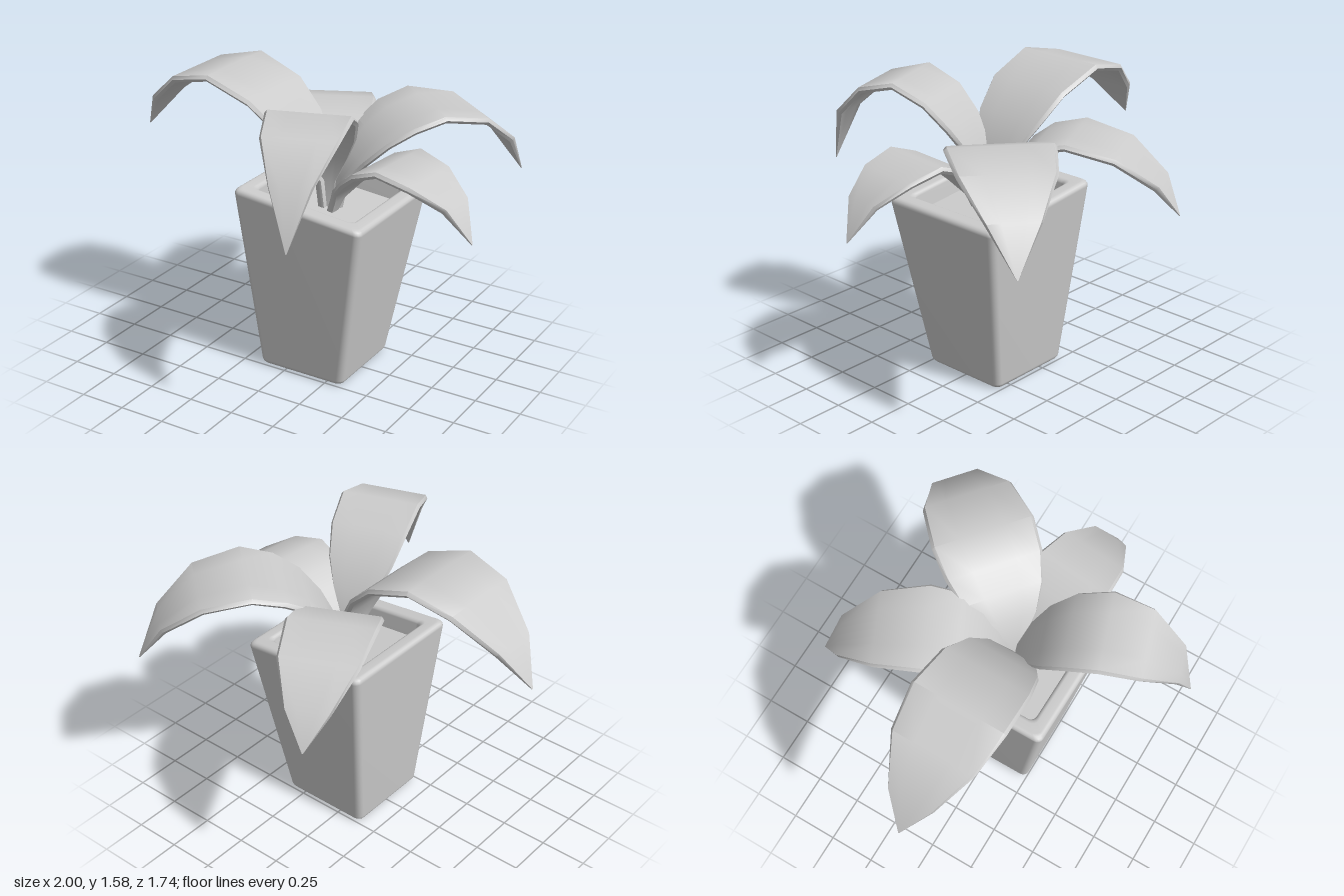
import * as THREE from 'three';
import { toCreasedNormals } from 'three/addons/utils/BufferGeometryUtils.js';

const grey = () => new THREE.MeshStandardMaterial({ color: 0xcccccc, side: THREE.DoubleSide });

// Skin a list of closed rings that all have the same number of points
function loft(rings) {
  const n = rings[0].length, index = [];
  for (let i = 0; i < rings.length - 1; i++) {
    for (let j = 0; j < n; j++) {
      const a = i * n + j, b = i * n + (j + 1) % n;
      index.push(a, b, a + n, b, b + n, a + n);
    }
  }
  const geometry = new THREE.BufferGeometry().setFromPoints(rings.flat());
  geometry.setIndex(index);
  geometry.computeVertexNormals();
  return geometry;
}

// Rounded rectangle of the tapered pot at height y, inset from the outer wall;
// the rings tilt gradually so that the rim slopes down to one side
function potRing(y, inset, radius = 0.035) {
  const cx = 0.0975 + 0.04 * y;
  const hx = 0.2475 + 0.125 * y - inset, hz = 0.245 + 0.12 * y - inset;
  const r = Math.max(0.002, Math.min(radius, hx, hz)), points = [];
  for (let c = 0; c < 4; c++) {
    const sx = c === 0 || c === 3 ? 1 : -1, sz = c < 2 ? -1 : 1;
    for (let k = 0; k <= 4; k++) {
      const a = (c + k / 4) * Math.PI / 2;
      const dx = sx * (hx - r) + r * Math.cos(a);
      const dz = sz * (hz - r) - r * Math.sin(a);
      points.push(new THREE.Vector3(cx + dx, y - 0.107 * y * dx, dz));
    }
  }
  return points;
}

function makePot() {
  const rings = [potRing(0, 0.24), potRing(0, 0.03)];
  const bevel = 0.03, steps = [1, 2, 3, 4];
  // rounded foot, outer wall, rounded rim, inner wall
  for (const s of steps) {
    const a = s / 4 * Math.PI / 2;
    rings.push(potRing(bevel * (1 - Math.cos(a)), bevel * (1 - Math.sin(a))));
  }
  for (const s of [0, ...steps]) {
    const a = s / 4 * Math.PI / 2;
    rings.push(potRing(0.97 + bevel * Math.sin(a), bevel * (1 - Math.cos(a))));
  }
  for (const s of [0, ...steps]) {
    const a = s / 4 * Math.PI / 2;
    rings.push(potRing(1 - 0.02 * (1 - Math.cos(a)), 0.07 + 0.02 * Math.sin(a)));
  }
  rings.push(potRing(0.87, 0.09));
  return loft(rings);
}

// Relative half width of a blade from stalk to tip
const TAPER = [0.12, 0.2, 0.55, 0.8, 0.95, 1, 0.88, 0.49, 0.01];

// Arching blade: profile holds [distance from base, height] along its heading
function makeLeaf({ base, tip, width, profile }) {
  const heading = new THREE.Vector3(tip[0] - base[0], 0, tip[1] - base[1]).normalize();
  const side = new THREE.Vector3(heading.z, 0, -heading.x);
  const spine = profile.map(([d, y]) =>
    new THREE.Vector3(base[0], y, base[1]).addScaledVector(heading, d));
  const rings = spine.map((p, i) => {
    const before = spine[Math.max(0, i - 1)], after = spine[Math.min(spine.length - 1, i + 1)];
    const up = after.clone().sub(before).normalize().cross(side);
    const w = width * TAPER[i], t = i === spine.length - 1 ? 0.004 : 0.034;
    const section = [[1, -0.5], [0.94, 0], [0.45, 0], [-0.45, 0], [-0.94, 0],
      [-1, -0.5], [-0.94, -1], [-0.45, -1], [0.45, -1], [0.94, -1]];
    return section.map(([u, v]) =>
      p.clone().addScaledVector(side, u * w).addScaledVector(up, v * t));
  });
  return toCreasedNormals(loft(rings), 0.8);
}

const LEAVES = {
  rightLeaf: { base: [0.13, 0.03], tip: [-1, 0.02], width: 0.26,
    profile: [[0, 0.88], [0.01, 1.05], [0.07, 1.21], [0.16, 1.34], [0.31, 1.48],
      [0.56, 1.575], [0.8, 1.52], [1.01, 1.35], [1.13, 1.14]] },
  frontLeaf: { base: [0.12, 0], tip: [0.41, 0.87], width: 0.217,
    profile: [[0, 0.88], [0.01, 1.05], [0.07, 1.21], [0.15, 1.34], [0.27, 1.47],
      [0.45, 1.555], [0.66, 1.5], [0.84, 1.33], [0.917, 1.03]] },
  backLeftLeaf: { base: [0.15, 0], tip: [0.83, -0.82], width: 0.27,
    profile: [[0, 0.88], [0.03, 1.05], [0.1, 1.17], [0.2, 1.28], [0.33, 1.36],
      [0.5, 1.41], [0.75, 1.36], [0.95, 1.2], [1.066, 0.97]] },
  backRightLeaf: { base: [0.09, 0], tip: [-0.32, -0.87], width: 0.235,
    profile: [[0, 0.88], [0.02, 1.03], [0.07, 1.13], [0.15, 1.23], [0.25, 1.3],
      [0.42, 1.34], [0.67, 1.28], [0.87, 1.13], [0.96, 0.95]] },
  leftLeaf: { base: [0.15, 0.05], tip: [1, 0.13], width: 0.21,
    profile: [[0, 0.88], [0.04, 0.98], [0.1, 1.06], [0.18, 1.14], [0.27, 1.21],
      [0.42, 1.265], [0.6, 1.22], [0.76, 1.12], [0.854, 0.93]] },
};

export function createModel() {
  const model = new THREE.Group();
  model.name = 'pottedPlant';
  const add = (name, geometry) => {
    const mesh = new THREE.Mesh(geometry, grey());
    mesh.name = name;
    model.add(mesh);
  };

  add('pot', makePot());
  add('potBase', loft([potRing(0, 0.243), potRing(0, 0.2)].map((r, i) =>
    i ? r : r.map(() => new THREE.Vector3(0.0975, 0, 0)))));

  // Soil surface closing the pot just below the rim
  const edge = potRing(0.9, 0.085);
  const centre = new THREE.Vector3(0.1335, 0.9, 0);
  add('soil', loft([edge, edge.map(() => centre.clone())]));

  for (const [name, spec] of Object.entries(LEAVES)) add(name, makeLeaf(spec));
  return model;
}
